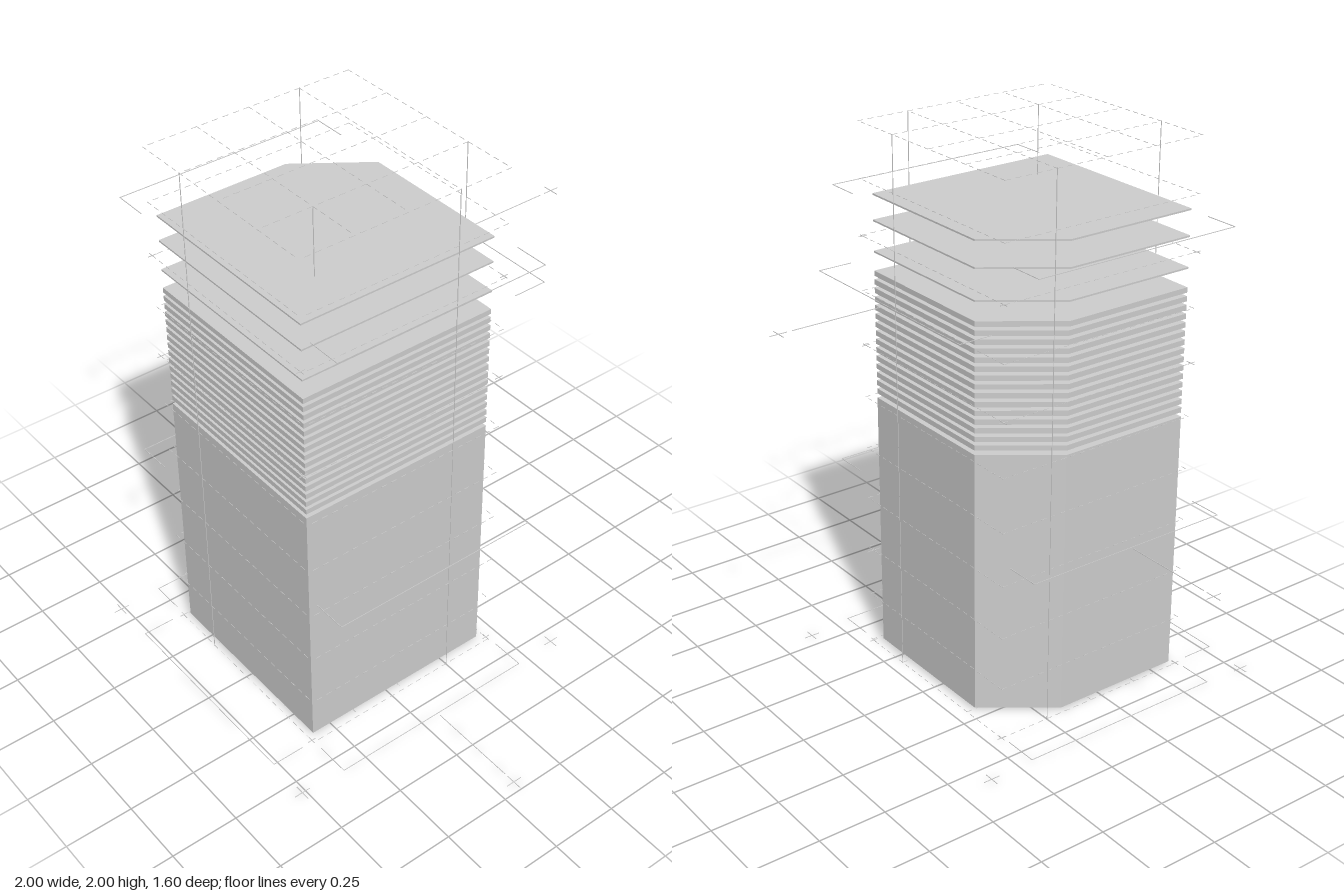
import * as THREE from 'three';
import { mergeGeometries } from 'three/addons/utils/BufferGeometryUtils.js';

const HAIR = 0.002;

// Square footprint with one corner cut off, as [x, z]
const FOOTPRINT = [[-0.385, 0.58], [0.37, 0.58], [0.37, -0.17], [-0.205, -0.17], [-0.385, 0.075]];

function slab(y0, y1) {
  const shape = new THREE.Shape(FOOTPRINT.map(([x, z]) => new THREE.Vector2(x, -z)));
  const geo = new THREE.ExtrudeGeometry(shape, { depth: y1 - y0, bevelEnabled: false });
  return geo.rotateX(-Math.PI / 2).translate(0, y0, 0);
}

// Thin axis-aligned rod between two points
function rod(a, b, t = HAIR) {
  const size = a.map((v, i) => Math.abs(b[i] - v) + t);
  return new THREE.BoxGeometry(...size).translate(...a.map((v, i) => (v + b[i]) / 2));
}

function dashes(a, b, step = 0.04) {
  const from = new THREE.Vector3(...a), to = new THREE.Vector3(...b);
  const n = Math.round(from.distanceTo(to) / step);
  return Array.from({ length: n }, (_, i) => rod(
    from.clone().lerp(to, i / n).toArray(),
    from.clone().lerp(to, (i + 0.5) / n).toArray(), 0.0015));
}

function cross(x, y, z, r = 0.03) {
  return [rod([x - r, y, z], [x + r, y, z]), rod([x, y, z - r], [x, y, z + r])];
}

export function createModel() {
  const group = new THREE.Group();
  const material = new THREE.MeshStandardMaterial({ color: 0xcccccc, flatShading: true });
  const add = (name, geos) => {
    const mesh = new THREE.Mesh(mergeGeometries(geos), material);
    mesh.name = name;
    group.add(mesh);
  };

  // Solid block, stack of slices, and loose sheets above
  add('block', [slab(0.01, 1.0)]);
  add('slices', Array.from({ length: 15 }, (_, i) => {
    const y = 1.026 + i * 0.0314;
    return slab(y - 0.0095, y + 0.0095);
  }));
  add('sheets', [1.544, 1.655, 1.748].map((y) => slab(y - 0.003, y + 0.003)));

  // Upright guide poles
  add('poles', [[-0.4, 0], [-0.2, 0.6], [0.2, 0.4], [0.2, -0.2], [0.4, 0]]
    .map(([x, z]) => rod([x, 0, z], [x, 2 - HAIR / 2, z])));

  // Dashed grids at the bottom and top
  const grid = [];
  for (const y of [0.002, 1.998]) {
    for (let i = 0; i <= 4; i++) {
      const x = -0.4 + i * 0.2, z = -0.2 + i * 0.2;
      grid.push(...dashes([x, y, -0.2], [x, y, 0.6]), ...dashes([-0.4, y, z], [0.4, y, z]));
    }
  }
  add('grids', grid);

  // Dashed rings around the block at each level
  const rings = [];
  for (let k = 1; k < 10; k++) {
    const y = k * 0.2;
    for (const z of [-0.2, 0.6]) rings.push(...dashes([-0.4, y, z], [0.4, y, z]));
    for (const x of [-0.4, 0.4]) rings.push(...dashes([x, y, -0.2], [x, y, 0.6]));
  }
  add('levelRings', rings);

  // Measuring brackets on the two sides, the front and the back
  const brackets = [];
  for (const y of [0.01, 0.69, 1.735]) {
    for (const s of [-1, 1]) {
      brackets.push(rod([s * 0.57, y, -0.2], [s * 0.57, y, 0.6]));
      for (const z of [-0.2, 0.6]) brackets.push(rod([s * 0.57, y, z], [s * 0.445, y, z]));
    }
  }
  for (const [y, z, end] of [[0.01, 0.77, 0.65], [1.51, -0.37, -0.245]]) {
    brackets.push(rod([-0.4, y, z], [0.4, y, z]));
    for (const x of [-0.4, 0.4]) brackets.push(rod([x, y, z], [x, y, end]));
  }
  add('brackets', brackets);

  // Leader lines ending in small crosses
  add('leaders', [
    rod([-0.92, 0.69, 0.21], [-0.58, 0.69, 0.21]), ...cross(-0.968, 0.69, 0.21),
    rod([0.58, 0.005, 0.18], [0.92, 0.005, 0.18]), ...cross(0.965, 0.005, 0.18),
    rod([0, 1.51, -0.72], [0, 1.51, -0.39]), ...cross(0, 1.51, -0.77),
  ]);

  // Registration crosses on the ground and at the grid corners
  const marks = [];
  for (const x of [-0.57, 0.555]) for (const z of [-0.37, 0.765]) marks.push(...cross(x, 0.004, z));
  for (const y of [0.004, 1.2, 1.6]) {
    for (const x of [-0.4, 0.39]) for (const z of [-0.2, 0.6]) marks.push(...cross(x, y, z, 0.015));
  }
  add('crossMarks', marks);

  return group;
}
